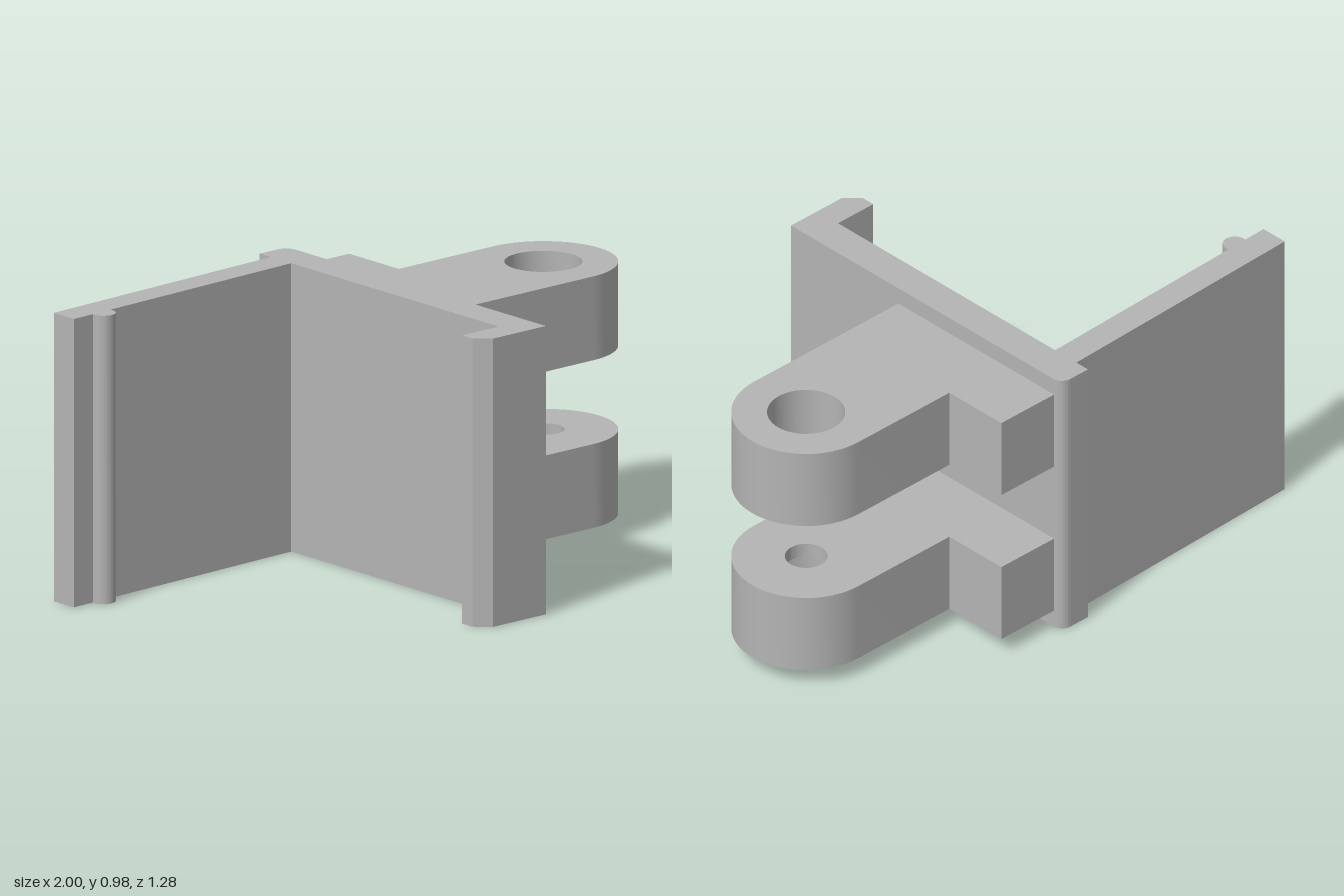
import * as THREE from 'three';
import { toCreasedNormals, mergeGeometries } from 'three/addons/utils/BufferGeometryUtils.js';

const HEIGHT = 0.98;
const LUG_HEIGHT = 0.285;
const PIN = { x: 0.755, z: -0.115, outer: 0.245, bore: 0.128, hole: 0.07 };

// Outlines are drawn in plan as (x, -z), then raised along y.
function raise(shape, y0, height) {
  const g = new THREE.ExtrudeGeometry(shape, { depth: height, bevelEnabled: false, curveSegments: 32 });
  g.rotateX(-Math.PI / 2);
  g.translate(0, y0, 0);
  return toCreasedNormals(g, 0.5);
}

function outline(points) {
  return new THREE.Shape(points.map(([x, z]) => new THREE.Vector2(x, -z)));
}

function circlePath(Type, r) {
  const p = new Type();
  p.absarc(PIN.x, -PIN.z, r, 0, Math.PI * 2, false);
  return p;
}

export function createModel() {
  const group = new THREE.Group();
  group.name = 'hingeClip';
  const grey = new THREE.MeshStandardMaterial({ color: 0xb4b4b4 });
  grey.name = 'grey';
  const add = (name, geometry) => {
    const mesh = new THREE.Mesh(geometry, grey);
    mesh.name = name;
    group.add(mesh);
  };

  // Upright plate with a chamfered hook at the front and a rounded back corner
  const plate = new THREE.Shape();
  plate.moveTo(-0.02, 0.64);
  plate.lineTo(-0.02, -0.54);
  plate.lineTo(-0.18, -0.54);
  plate.lineTo(-0.18, -0.59);
  plate.lineTo(-0.13, -0.637);
  plate.lineTo(0.1, -0.637);
  plate.lineTo(0.1, 0.6);
  plate.absarc(0.06, 0.6, 0.04, 0, Math.PI / 2, false);
  plate.closePath();
  add('hookedPlate', raise(plate, 0, HEIGHT));

  // Slightly angled wing at the back
  add('wing', raise(outline([[-1, -0.55], [-1, -0.45], [-0.02, -0.485], [-0.02, -0.585]]), 0, HEIGHT));

  // Rounded bead along the wing
  const bead = new THREE.Shape();
  bead.moveTo(-0.835, 0.456);
  bead.lineTo(-0.915, 0.453);
  bead.lineTo(-0.915, 0.445);
  bead.absarc(-0.875, 0.445, 0.04, Math.PI, Math.PI * 2, false);
  bead.closePath();
  add('wingBead', raise(bead, 0, HEIGHT));

  // Hinge lugs: a wide bore, narrowed by thin collars around the pin hole
  const lug = (name, y0, collars) => {
    const body = new THREE.Shape();
    body.moveTo(0.1, -0.13);
    body.lineTo(PIN.x, -0.13);
    body.absarc(PIN.x, -PIN.z, PIN.outer, -Math.PI / 2, Math.PI / 2, false);
    body.lineTo(0.34, 0.36);
    body.lineTo(0.34, 0.605);
    body.lineTo(0.1, 0.605);
    body.closePath();
    body.holes.push(circlePath(THREE.Path, PIN.bore));
    const parts = [raise(body, y0, LUG_HEIGHT)];
    for (const offset of collars) {
      const ring = circlePath(THREE.Shape, PIN.bore);
      ring.holes.push(circlePath(THREE.Path, PIN.hole));
      parts.push(raise(ring, y0 + offset, 0.05));
    }
    add(name, mergeGeometries(parts));
  };
  lug('lowerLug', 0.065, [0, LUG_HEIGHT - 0.05]);
  lug('upperLug', 0.635, [0]);

  return group;
}
